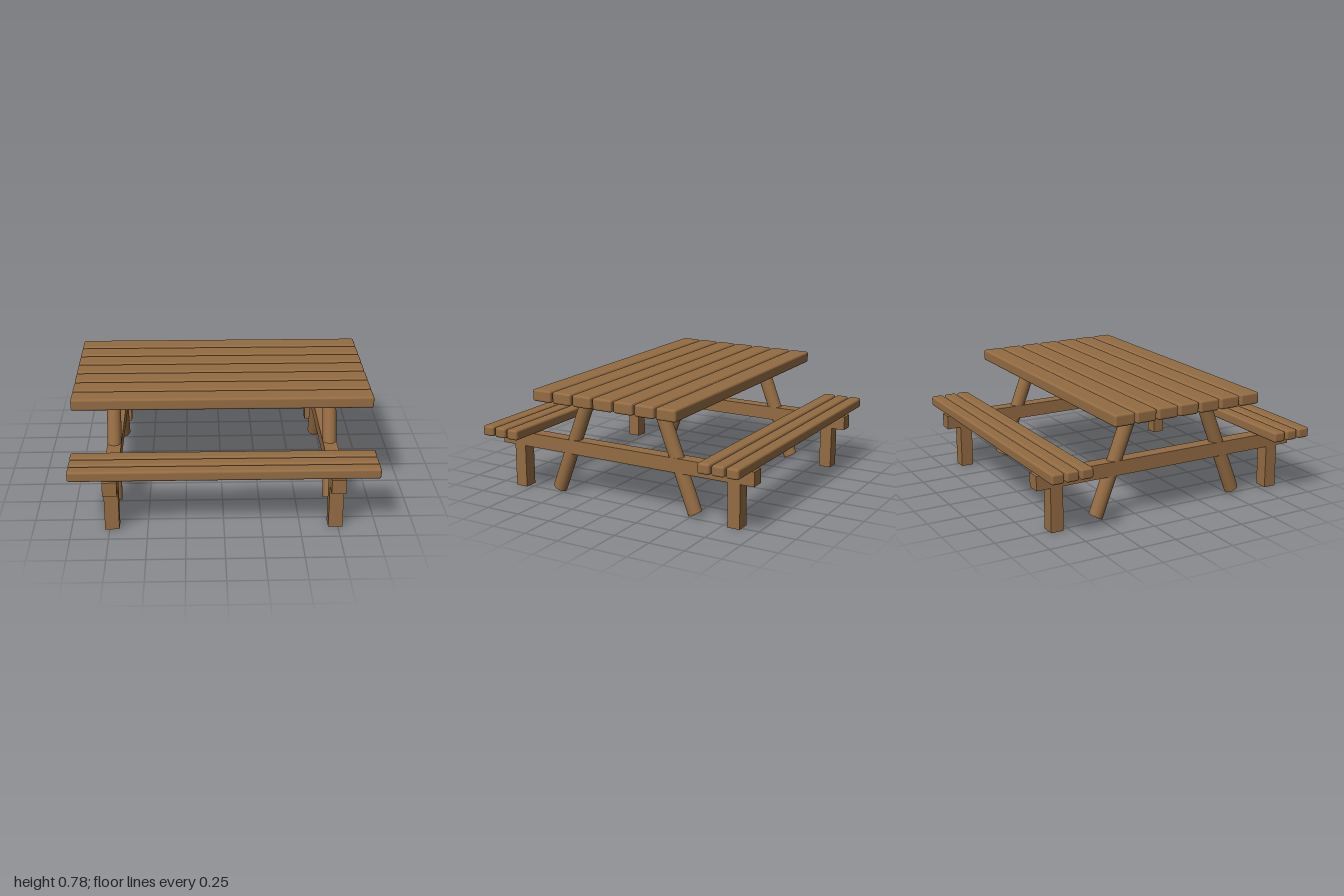
import * as THREE from 'three';
import { RoundedBoxGeometry } from 'three/addons/geometries/RoundedBoxGeometry.js';

export function createModel() {
  const model = new THREE.Group();
  model.name = 'picnicTable';
  const wood = new THREE.MeshStandardMaterial({ color: 0x946c43 });
  wood.name = 'brown wood';

  function add(name, geometry, x, y, z) {
    const mesh = new THREE.Mesh(geometry, wood);
    mesh.name = name;
    mesh.position.set(x, y, z);
    model.add(mesh);
    return mesh;
  }

  // Tabletop: seven rounded planks
  const tablePlank = new RoundedBoxGeometry(2, 0.08, 0.143, 3, 0.015);
  for (let i = -3; i <= 3; i++) add('tablePlank', tablePlank, 0, 0.74, i * 0.1567);

  // Benches: three narrow planks on each side
  const benchPlank = new RoundedBoxGeometry(2, 0.07, 0.087, 3, 0.015);
  for (const side of [-1, 1]) {
    for (let i = 0; i < 3; i++) add('benchPlank', benchPlank, 0, 0.438, side * (0.732 + i * 0.1));
  }

  // Frames: a cross beam, two square bench legs and two slanted round table legs
  const beam = new THREE.BoxGeometry(0.094, 0.097, 1.948);
  const benchLeg = new THREE.BoxGeometry(0.094, 0.302, 0.087);
  const roundLeg = new THREE.CylinderGeometry(0.0475, 0.0475, 0.635, 24);
  roundLeg.rotateX(-0.429);
  roundLeg.scale(1, 1.19, 1); // stretch gives the ends their steeper cut
  for (const x of [-0.733, 0.733]) {
    add('crossBeam', beam, x, 0.3475, 0);
    for (const side of [-1, 1]) {
      add('benchLeg', benchLeg, x, 0.151, side * 0.834);
      const leg = add('tableLeg', roundLeg, x, 0.374, side * 0.402);
      if (side < 0) leg.rotation.y = Math.PI;
    }
  }
  return model;
}
